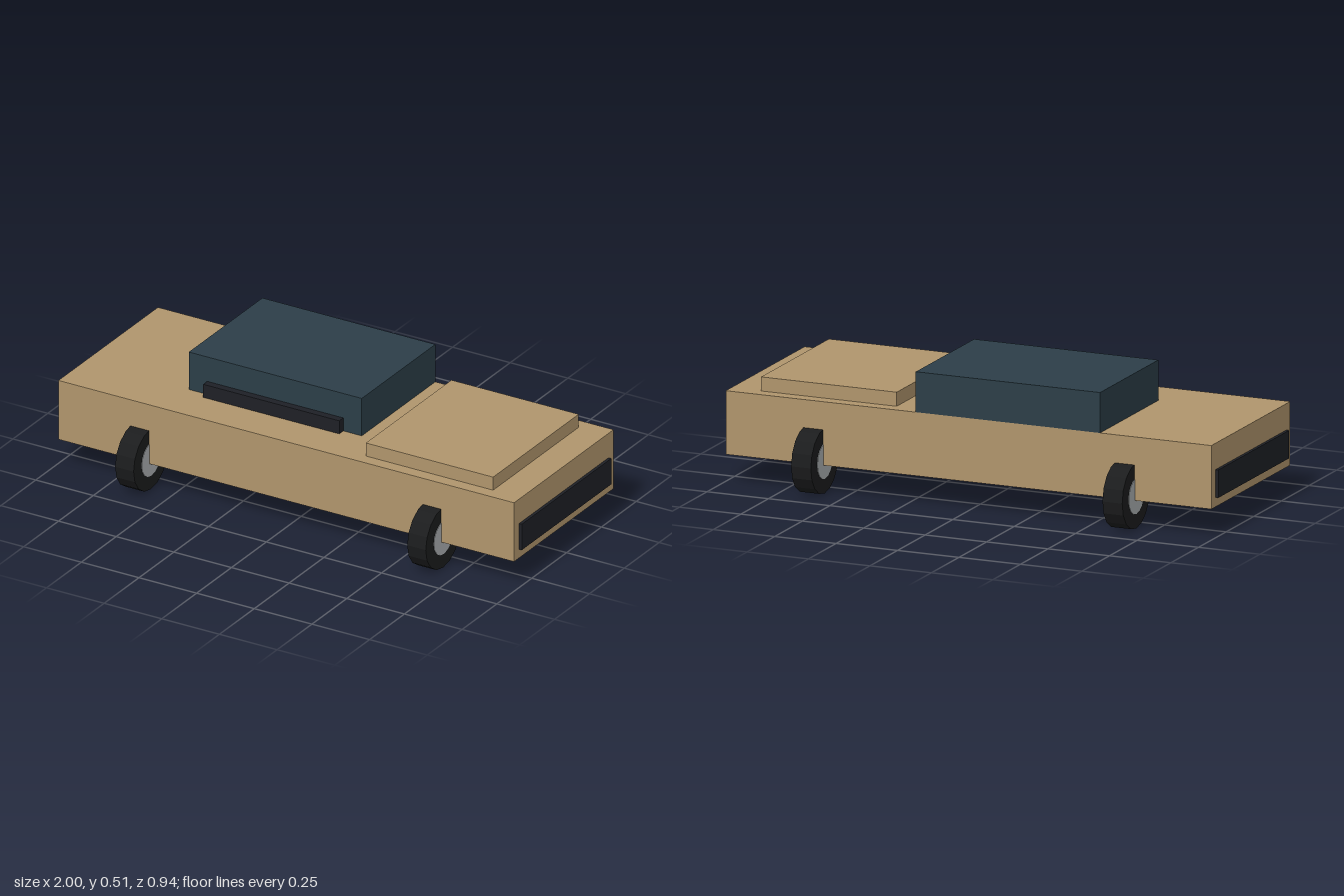
import * as THREE from 'three';

const paint = (color) => new THREE.MeshStandardMaterial({ color, flatShading: true });

export function createModel() {
  const model = new THREE.Group();
  const tan = paint(0xb0956c), slate = paint(0x2c3e48), dark = paint(0x1e2026);
  const rubber = paint(0x1b1c1d), metal = paint(0xaaaeb0);

  // Box given by its lower and upper corners
  const block = (name, material, [x0, y0, z0], [x1, y1, z1]) => {
    const mesh = new THREE.Mesh(new THREE.BoxGeometry(x1 - x0, y1 - y0, z1 - z0), material);
    mesh.position.set((x0 + x1) / 2, (y0 + y1) / 2, (z0 + z1) / 2);
    mesh.name = name;
    model.add(mesh);
  };

  // Body, raised hood, cabin and its front panel
  block('body', tan, [-0.988, 0.112, -0.357], [0.988, 0.356, 0.357]);
  block('hood', tan, [0.315, 0.35, -0.307], [0.867, 0.41, 0.307]);
  block('cabin', slate, [-0.535, 0.35, -0.357], [0.215, 0.511, 0.171]);
  block('cabinPanel', dark, [-0.455, 0.352, 0.15], [0.135, 0.41, 0.2]);

  // Dark panel on each end of the body
  for (const s of [-1, 1]) {
    const xs = [s * 0.97, s].sort((a, b) => a - b);
    block(s > 0 ? 'leftEndPanel' : 'rightEndPanel', dark, [xs[0], 0.148, -0.321], [xs[1], 0.255, 0.321]);
  }

  // Four wheels turning about x, each a tyre with a slightly wider hub
  const tyreGeometry = new THREE.CylinderGeometry(0.125, 0.125, 0.08, 16).rotateZ(Math.PI / 2);
  const hubGeometry = new THREE.CylinderGeometry(0.069, 0.069, 0.084, 16).rotateZ(Math.PI / 2);
  for (const x of [-0.635, 0.632]) {
    for (const z of [-0.343, 0.343]) {
      const wheel = new THREE.Group();
      wheel.name = (z > 0 ? 'front' : 'back') + (x > 0 ? 'Left' : 'Right') + 'Wheel';
      const tyre = new THREE.Mesh(tyreGeometry, rubber);
      const hub = new THREE.Mesh(hubGeometry, metal);
      tyre.name = 'tyre';
      hub.name = 'hub';
      wheel.add(tyre, hub);
      wheel.position.set(x, 0.126, z);
      model.add(wheel);
    }
  }
  return model;
}
